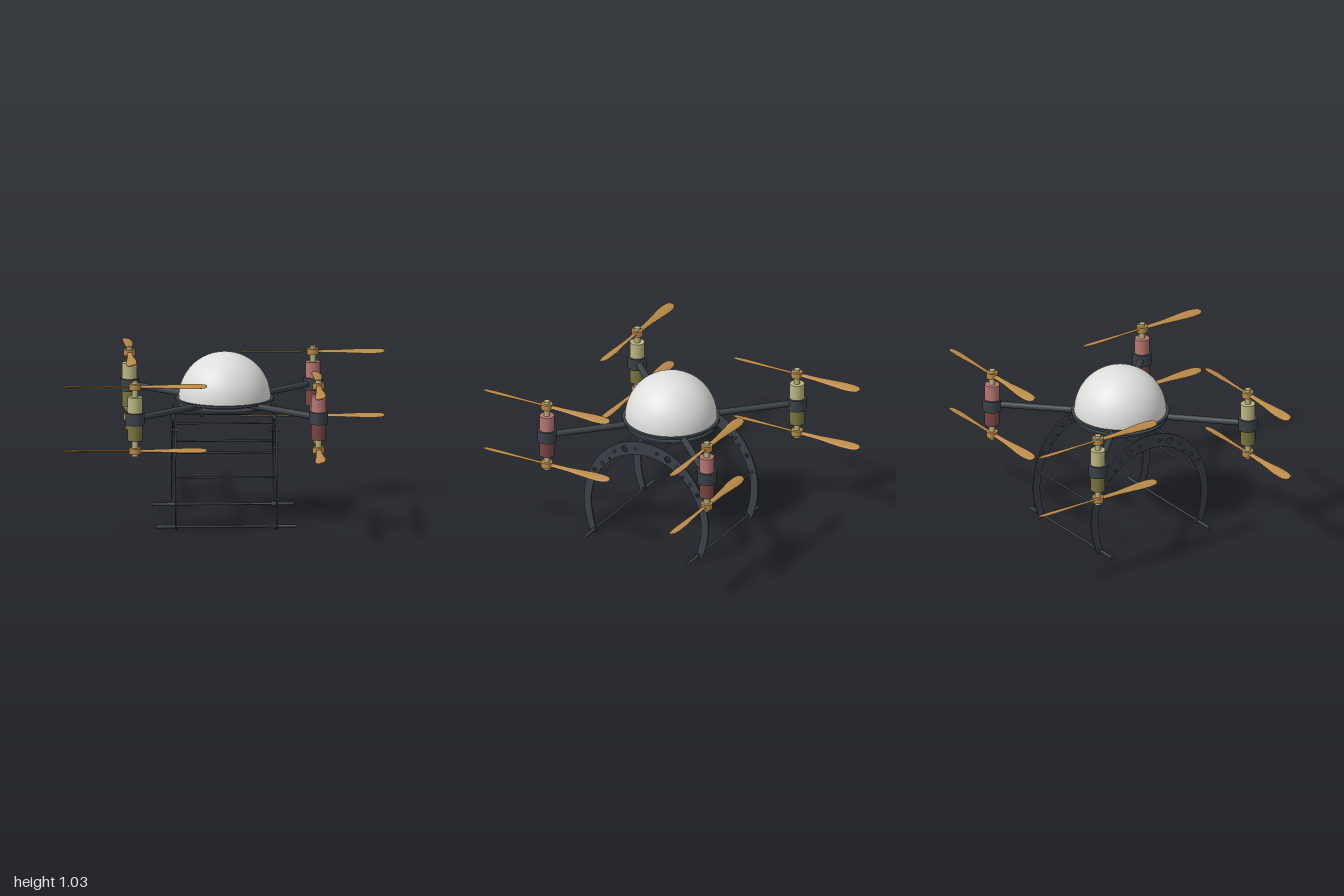
import * as THREE from 'three';

const mat = (name, color) => {
  const m = new THREE.MeshStandardMaterial({ color });
  m.name = name;
  return m;
};

export function createModel() {
  const root = new THREE.Group();
  root.name = 'drone';
  const dark = mat('carbon black', 0x3a4147);
  const white = mat('dome white', 0xdededc);
  const wood = mat('propeller tan', 0xb98a49);
  const brass = mat('shaft brass', 0xb9b27c);
  const yellow = mat('motor yellow', 0xbdb683);
  const olive = mat('lower motor olive', 0x77733f);
  const pink = mat('motor pink', 0xb87772);
  const maroon = mat('lower motor maroon', 0x774542);

  const add = (parent, name, geo, material, x = 0, y = 0, z = 0) => {
    const m = new THREE.Mesh(geo, material);
    m.name = name;
    m.position.set(x, y, z);
    parent.add(m);
    return m;
  };
  // upright cylinder between two heights
  const post = (parent, name, r, y0, y1, material, x = 0, z = 0, seg = 24) =>
    add(parent, name, new THREE.CylinderGeometry(r, r, y1 - y0, seg), material, x, (y0 + y1) / 2, z);
  // rod along x
  const rod = (name, r, x0, x1, y, z) =>
    add(root, name, new THREE.CylinderGeometry(r, r, x1 - x0, 10).rotateZ(Math.PI / 2), dark, (x0 + x1) / 2, y, z);

  // Dome and the two body plates
  add(root, 'dome', new THREE.SphereGeometry(0.282, 48, 20, 0, Math.PI * 2, 0, Math.PI / 2), white, 0, 0.75, 0);
  post(root, 'upperPlate', 0.3, 0.736, 0.75, dark, 0, 0, 32);
  post(root, 'lowerPlate', 0.285, 0.7, 0.712, dark, 0, 0, 32);
  post(root, 'bodyCore', 0.2, 0.712, 0.736, dark, 0, 0, 32);

  // Two-blade propeller: a rod flattened, widened and twisted along its length
  const widths = [[0, 0.017], [0.06, 0.016], [0.15, 0.019], [0.24, 0.027],
    [0.32, 0.034], [0.38, 0.034], [0.42, 0.027], [0.434, 0.016], [0.44, 0.004]];
  const halfWidth = (d) => {
    for (let i = 1; i < widths.length; i++) {
      const [a, wa] = widths[i - 1], [b, wb] = widths[i];
      if (d <= b + 1e-6) return wa + (wb - wa) * (d - a) / (b - a);
    }
    return 0.004;
  };
  const blade = new THREE.CylinderGeometry(1, 1, 0.88, 12, 88).rotateZ(Math.PI / 2);
  const p = blade.attributes.position;
  for (let i = 0; i < p.count; i++) {
    const x = p.getX(i), d = Math.abs(x);
    const w = p.getZ(i) * halfWidth(d);
    const t = p.getY(i) * Math.min(0.006, halfWidth(d));
    const pitch = Math.max(-1, Math.min(1, x / 0.06)) * 0.27;
    p.setXYZ(i, x, t * Math.cos(pitch) - w * Math.sin(pitch), t * Math.sin(pitch) + w * Math.cos(pitch));
  }
  blade.computeVertexNormals();

  // Four arms, each with a pair of motors and propellers
  for (const sx of [-1, 1]) for (const sz of [-1, 1]) {
    const x = sx * 0.56 - 0.004, z = sz * 0.56 - 0.004;
    const len = Math.hypot(x, z);
    const arm = add(root, 'arm', new THREE.CylinderGeometry(0.02, 0.02, len - 0.15, 16).rotateX(Math.PI / 2),
      dark, x * (0.5 + 0.075 / len), 0.729, z * (0.5 + 0.075 / len));
    arm.rotation.y = Math.atan2(x, z);

    const unit = new THREE.Group();
    unit.name = 'motorUnit';
    unit.position.set(x, 0, z);
    root.add(unit);
    post(unit, 'motorSleeve', 0.058, 0.69, 0.765, dark);
    post(unit, 'upperMotor', 0.045, 0.765, 0.862, sx > 0 ? pink : yellow);
    post(unit, 'lowerMotor', 0.045, 0.592, 0.69, sx > 0 ? maroon : olive);
    post(unit, 'shaft', 0.019, 0.492, 0.96, brass, 0, 0, 16);
    for (const y of [0.925, 0.527]) {
      post(unit, 'propellerHub', 0.036, y - 0.018, y + 0.018, wood, 0, 0, 16);
      const b = add(unit, 'propeller', blade, wood, 0, y, 0);
      if (sx === sz) b.rotation.y = Math.PI / 2;
    }
  }

  // Arched landing legs: outer and inner curves with lightening holes
  const outer = [], inner = [];
  const end = 0.475;
  for (let i = 0; i <= 48; i++) {
    const a = -end + (Math.PI + 2 * end) * i / 48;
    const c = Math.cos(a), s = Math.sin(a);
    outer.push(new THREE.Vector2(0.435 * c, 0.22 + 0.48 * s));
    inner.push(new THREE.Vector2(0.385 * c, 0.22 + (s > 0 ? 0.39 : 0.465) * s));
  }
  const arch = new THREE.Shape([...outer, ...inner.reverse()]);
  for (const s of [-1, 1]) {
    for (const [hz, hy, r] of [[0.15, 0.625, 0.021], [0.36, 0.43, 0.013], [0.075, 0.645, 0.009], [0.255, 0.53, 0.008]]) {
      const hole = new THREE.Path();
      hole.absarc(s * hz, hy, r, 0, Math.PI * 2, true);
      arch.holes.push(hole);
    }
  }
  const archGeo = new THREE.ExtrudeGeometry(arch, { depth: 0.009, bevelEnabled: false, curveSegments: 10 });
  archGeo.translate(0, 0, -0.0045).rotateY(Math.PI / 2);
  for (const x of [-0.309, 0.306]) {
    add(root, 'legArch', archGeo, dark, x, 0, 0);
    // Bolts through the arches
    for (const s of [-1, 1]) {
      for (const [z, y] of [[0.22, 0.59], [0.305, 0.49]]) {
        rod('legBolt', 0.011, x - 0.016, x + 0.016, y, s * z);
      }
    }
  }

  // Cross rods and skids
  for (const s of [-1, 1]) {
    rod('middleCrossRod', 0.006, -0.31, 0.307, 0.33, s * 0.398);
    rod('upperCrossRod', 0.006, -0.31, 0.307, 0.535, s * 0.285);
    rod('topCrossRod', 0.005, -0.31, 0.307, 0.665, s * 0.1);
    rod('skidRod', 0.007, -0.31, 0.307, 0.018, s * 0.363);
    rod('skidEnd', 0.01, -0.43, -0.295, 0.018, s * 0.363);
    rod('skidEnd', 0.01, 0.295, 0.43, 0.018, s * 0.363);
    for (const x of [-0.309, 0.306]) rod('skidCollar', 0.017, x - 0.008, x + 0.008, 0.018, s * 0.363);
  }
  rod('rodCollar', 0.02, -0.15, -0.14, 0.668, 0.1);

  return root;
}
